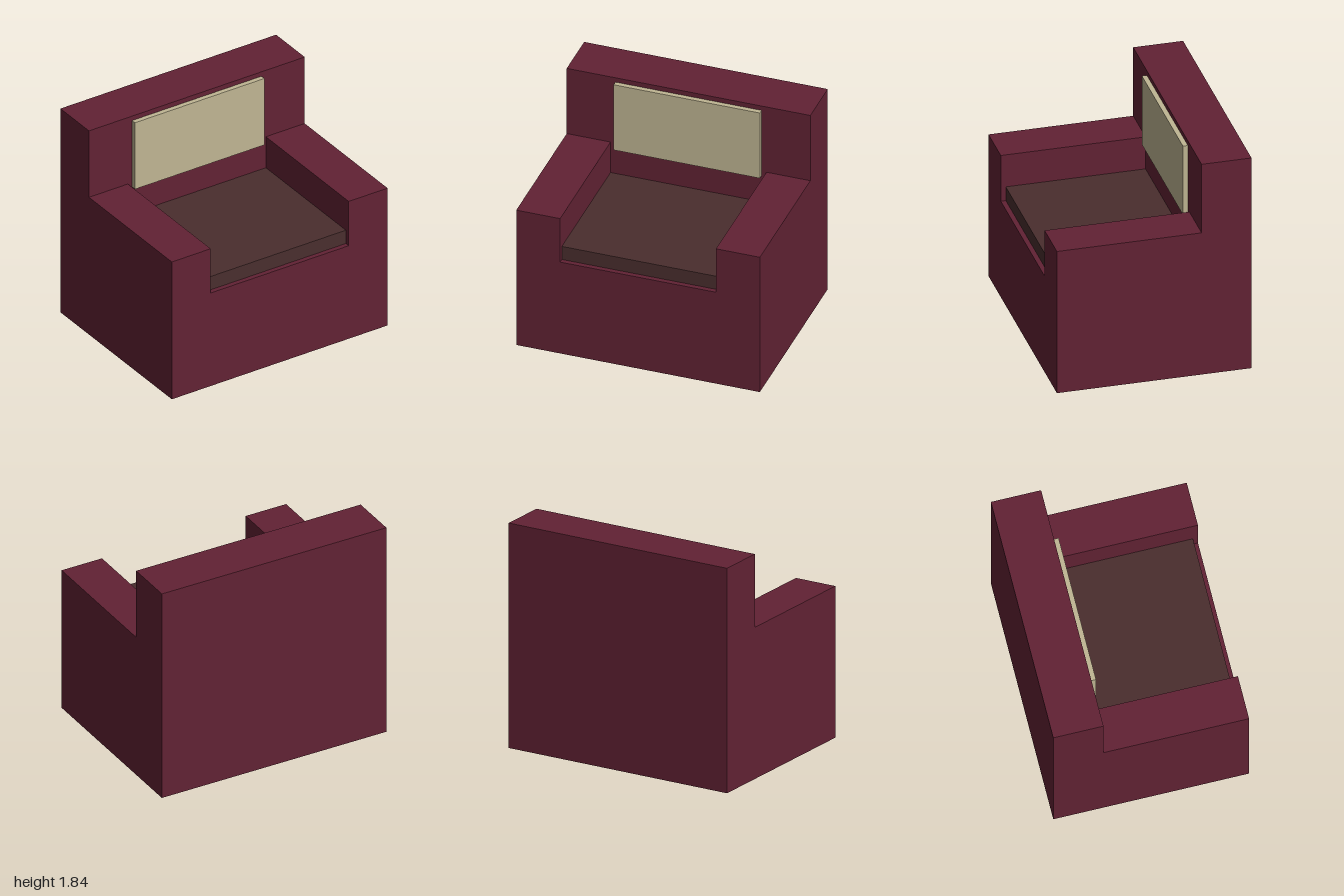
import * as THREE from 'three';

const material = (name, color) => {
  const m = new THREE.MeshStandardMaterial({ color });
  m.name = name;
  return m;
};

export function createModel() {
  const chair = new THREE.Group();
  chair.name = 'armchair';

  const burgundy = material('burgundy upholstery', 0x622234);
  const brown = material('dark brown cushion', 0x4a2e2e);
  const beige = material('beige panel', 0xc0b693);

  // Adds a box given its extents along each axis
  const box = (name, mat, [x0, x1], [y0, y1], [z0, z1]) => {
    const mesh = new THREE.Mesh(new THREE.BoxGeometry(x1 - x0, y1 - y0, z1 - z0), mat);
    mesh.position.set((x0 + x1) / 2, (y0 + y1) / 2, (z0 + z1) / 2);
    mesh.name = name;
    chair.add(mesh);
  };

  // Upholstered frame
  box('backrest', burgundy, [-1, 1], [0, 1.84], [-0.78, -0.38]);
  box('seatBase', burgundy, [-0.64, 0.64], [0, 0.84], [-0.38, 0.78]);
  box('leftArm', burgundy, [0.64, 1], [0, 1.24], [-0.38, 0.78]);
  box('rightArm', burgundy, [-1, -0.64], [0, 1.24], [-0.38, 0.78]);

  // Seat cushion, set slightly back from the front edge
  box('seatCushion', brown, [-0.64, 0.64], [0.84, 0.96], [-0.38, 0.74]);

  // Pale panel on the backrest
  box('backPanel', beige, [-0.6, 0.6], [1.2, 1.8], [-0.38, -0.34]);

  return chair;
}
